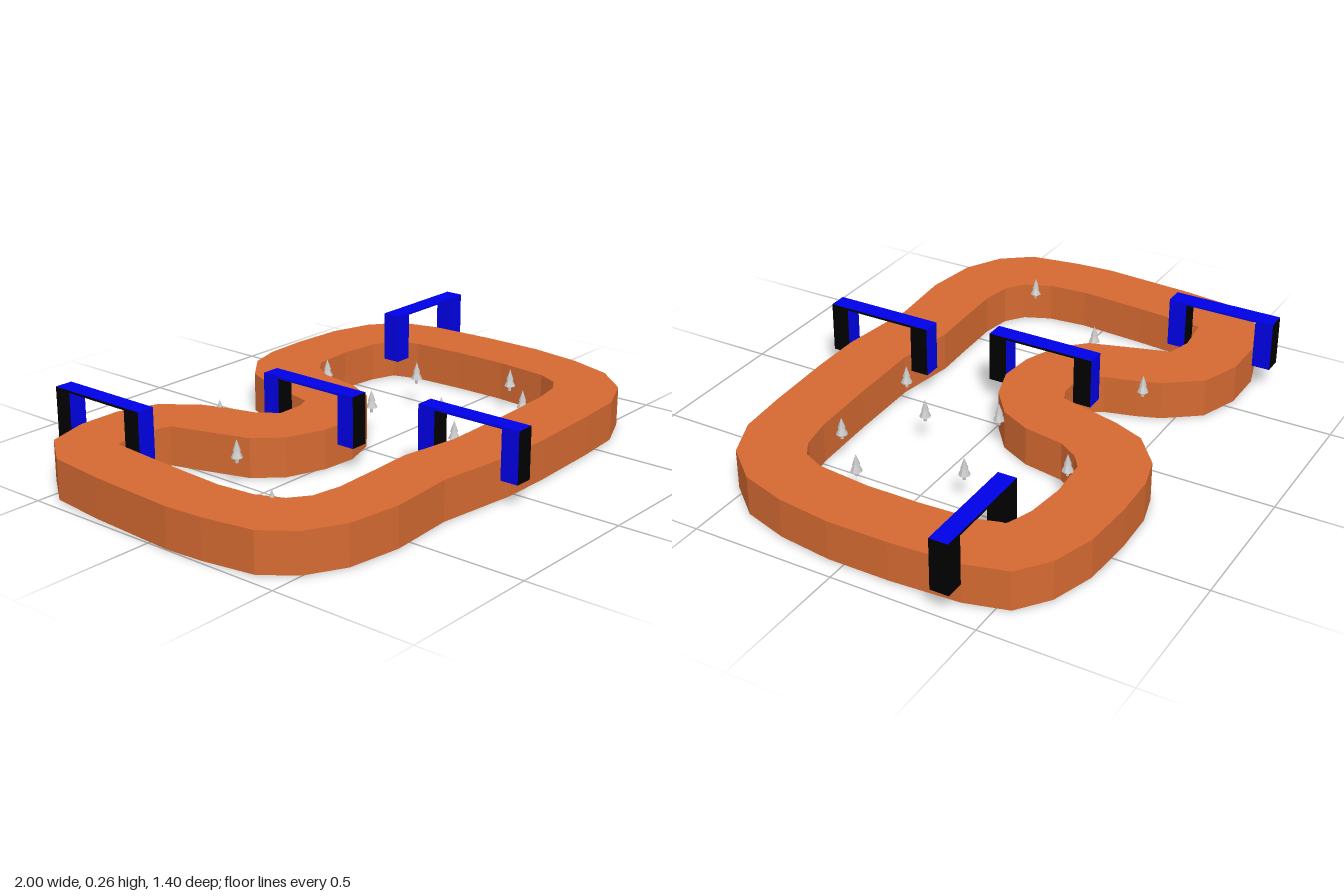
import * as THREE from 'three';

const mat = (name, color) => {
  const m = new THREE.MeshStandardMaterial({ color });
  m.name = name;
  return m;
};

const TOP = 0.14;    // track surface height
const SHEET = 0.002; // gap between underside sheet and slab
const BASE = 0.085;  // foot of gates and trees

// Track outlines as x, z pairs
const OUTER = [
  -0.853, -0.585, -0.70, -0.63, -0.54, -0.63, -0.40, -0.58, -0.31, -0.46, -0.28, -0.38,
  -0.25, -0.27, -0.20, -0.20, -0.10, -0.20, -0.055, -0.22, -0.025, -0.345, 0.0, -0.44,
  0.045, -0.55, 0.16, -0.645, 0.275, -0.677, 0.43, -0.683, 0.62, -0.672, 0.77, -0.625,
  0.875, -0.545, 0.915, -0.40, 0.93, -0.16, 0.93, 0.056, 0.905, 0.245, 0.855, 0.405,
  0.75, 0.527, 0.605, 0.59, 0.43, 0.605, 0.16, 0.617, -0.025, 0.617, -0.185, 0.597,
  -0.32, 0.58, -0.56, 0.597, -0.75, 0.57, -0.88, 0.50, -0.96, 0.395, -0.99, 0.215,
  -1.0, 0.08, -0.98, -0.24, -0.955, -0.45,
];
const INNER = [
  -0.745, -0.40, -0.61, -0.415, -0.525, -0.39, -0.495, -0.29, -0.44, -0.115, -0.36, -0.03,
  -0.225, 0.02, -0.10, 0.03, 0.02, -0.01, 0.12, -0.09, 0.175, -0.20, 0.20, -0.345,
  0.245, -0.415, 0.295, -0.452, 0.44, -0.463, 0.58, -0.447, 0.67, -0.415, 0.70, -0.32,
  0.71, -0.13, 0.71, 0.056, 0.69, 0.245, 0.655, 0.32, 0.60, 0.355, 0.485, 0.377,
  0.245, 0.388, -0.025, 0.393, -0.24, 0.36, -0.37, 0.366, -0.56, 0.372, -0.665, 0.355,
  -0.73, 0.307, -0.77, 0.215, -0.783, 0.08, -0.767, -0.16,
];
const toPoints = (a) => Array.from({ length: a.length / 2 }, (_, i) => new THREE.Vector2(a[2 * i], a[2 * i + 1]));

// Tree positions as x, z
const TREES = [
  [-0.285, -0.40], [0.28, -0.41], [0.46, -0.14], [0.12, -0.07], [-0.52, -0.095],
  [-0.75, 0.27], [0.06, 0.33], [0.22, 0.155], [0.61, 0.165], [0.45, 0.33],
];

export function createModel() {
  const model = new THREE.Group();
  const brown = mat('trackBrown', 0xd56a32);
  const blue = mat('gateBlue', 0x0000e7);
  const black = mat('gateBlack', 0x000000);
  const grey = mat('treeGrey', 0xc4c4c4);
  grey.flatShading = true;

  // Closed circuit slab
  const shape = new THREE.Shape(toPoints(OUTER));
  shape.holes.push(new THREE.Path(toPoints(INNER)));
  const slab = new THREE.ExtrudeGeometry(shape, { depth: TOP - SHEET, bevelEnabled: false });
  slab.rotateX(Math.PI / 2).translate(0, TOP, 0);
  const track = new THREE.Mesh(slab, brown);
  track.name = 'track';
  model.add(track);

  // Black sheet facing down under the slab
  const underside = new THREE.Mesh(new THREE.ShapeGeometry(shape).rotateX(Math.PI / 2), black);
  underside.name = 'trackUnderside';
  model.add(underside);

  // Gates: two posts under a thin beam; side colours in the order +x, -x, +z, -z
  const SPAN = 0.39, POST = 0.065, HIGH = 0.263, BEAM = 0.008;
  const addGate = (name, x, z, alongX, [px, nx, pz, nz]) => {
    const mats = [px, nx, blue, black, pz, nz];
    const gate = new THREE.Group();
    gate.name = name;
    const add = (part, length, height, offset, y) => {
      const geo = alongX
        ? new THREE.BoxGeometry(length, height, POST)
        : new THREE.BoxGeometry(POST, height, length);
      const mesh = new THREE.Mesh(geo, mats);
      mesh.name = part;
      mesh.position.set(alongX ? offset : 0, y, alongX ? 0 : offset);
      gate.add(mesh);
    };
    for (const s of [-1, 1]) {
      add('gatePost', POST, HIGH - BASE, s * (SPAN - POST) / 2, (HIGH + BASE) / 2);
    }
    add('gateBeam', SPAN - 2 * POST, BEAM, 0, HIGH - BEAM / 2);
    gate.position.set(x, 0, z);
    model.add(gate);
  };
  addGate('frontGate', -0.074, 0.505, false, [black, blue, black, blue]);
  addGate('middleGate', -0.16, -0.085, false, [black, blue, black, blue]);
  addGate('backGate', -0.70, -0.51, false, [blue, black, blue, black]);
  addGate('sideGate', 0.805, -0.38, true, [black, blue, blue, black]);

  // Small two-tier trees
  const trunk = new THREE.CylinderGeometry(0.006, 0.006, 0.022, 6);
  const lower = new THREE.ConeGeometry(0.02, 0.042, 8);
  const upper = new THREE.ConeGeometry(0.013, 0.038, 8);
  for (const [x, z] of TREES) {
    const tree = new THREE.Group();
    tree.name = 'tree';
    for (const [name, geo, y] of [['trunk', trunk, 0.011], ['lowerBranches', lower, 0.039], ['upperBranches', upper, 0.061]]) {
      const mesh = new THREE.Mesh(geo, grey);
      mesh.name = name;
      mesh.position.y = y;
      tree.add(mesh);
    }
    tree.position.set(x, BASE, z);
    model.add(tree);
  }
  return model;
}
